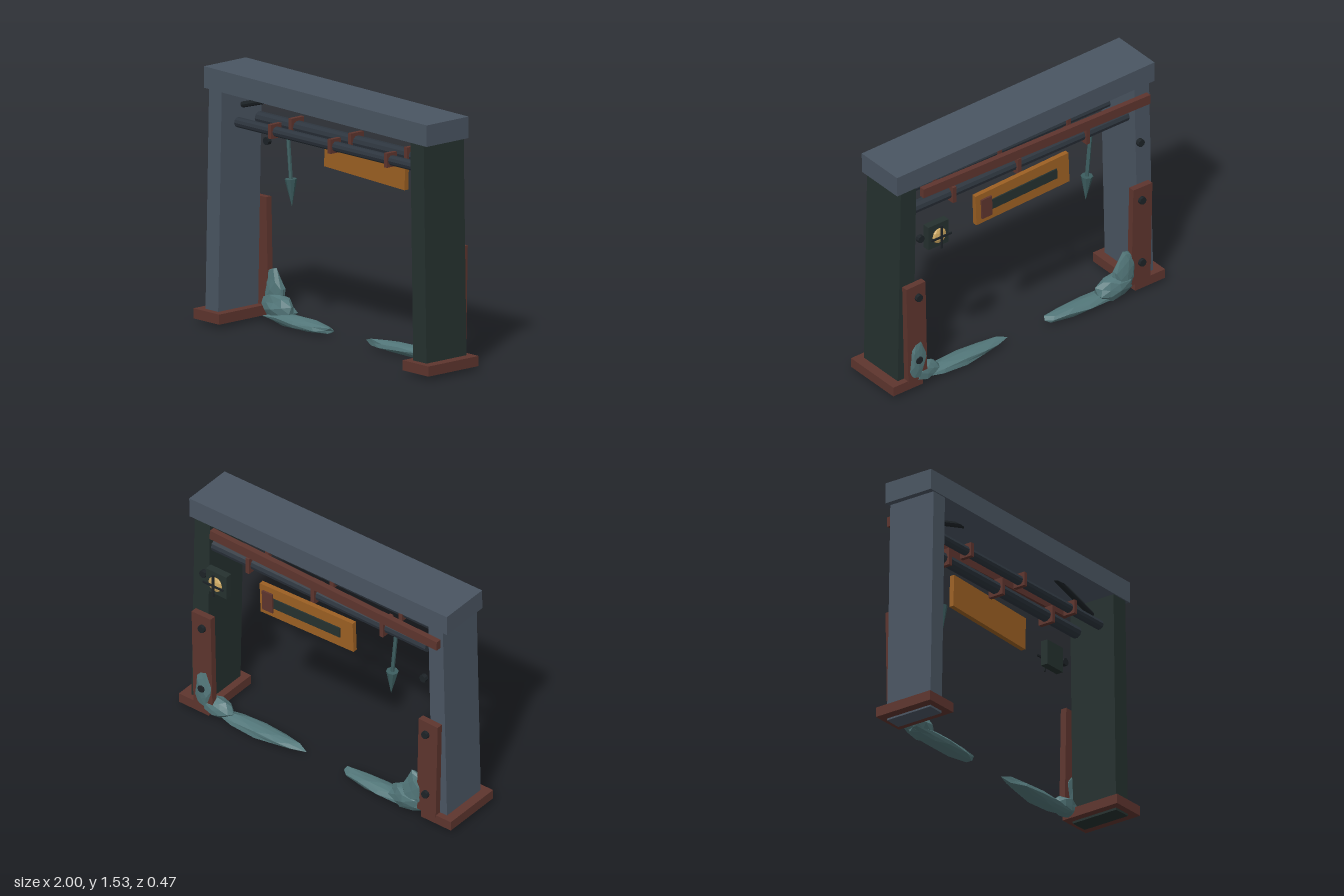
import * as THREE from 'three';

const mat = (name, color) => {
  const m = new THREE.MeshStandardMaterial({ color });
  m.name = name;
  return m;
};

export function createModel() {
  const steel = mat('blue grey steel', 0x4a5562);
  const dark = mat('dark green steel', 0x25312f);
  const rust = mat('red brown rust', 0x5e352e);
  const orange = mat('orange paint', 0x9c6023);
  const moss = mat('teal moss', 0x527679);
  const teal = mat('dark teal', 0x3d5e60);
  const pipeGrey = mat('pipe grey', 0x2d353e);
  const black = mat('bolt black', 0x1d2327);
  const lamp = mat('lamp tan', 0xcaa660);

  const root = new THREE.Group();
  root.name = 'gateFrame';

  const add = (name, geo, material, pos, rotZ = 0, parent = root) => {
    const m = new THREE.Mesh(geo, material);
    m.name = name;
    m.position.set(...pos);
    m.rotation.z = rotZ;
    parent.add(m);
    return m;
  };
  const box = (name, size, material, pos, rotZ = 0, parent = root) =>
    add(name, new THREE.BoxGeometry(...size), material, pos, rotZ, parent);
  const facet = (geo) => {
    const g = geo.index ? geo.toNonIndexed() : geo;
    g.computeVertexNormals();
    return g;
  };
  // Faceted rod between two points
  const rod = (name, a, b, r, material, sides = 10) => {
    const p = new THREE.Vector3(...a), q = new THREE.Vector3(...b);
    const d = q.clone().sub(p);
    const m = add(name, facet(new THREE.CylinderGeometry(r, r, d.length(), sides)), material,
      p.clone().add(q).multiplyScalar(0.5).toArray());
    m.quaternion.setFromUnitVectors(new THREE.Vector3(0, 1, 0), d.normalize());
    return m;
  };

  // Leaning posts and sagging lintel
  box('rightPost', [0.108, 1.4, 0.315], steel, [-0.874, 0.72, 0.033], -0.023);
  box('leftPost', [0.113, 1.38, 0.315], dark, [0.87, 0.71, 0.033], 0.018);
  box('lintel', [1.895, 0.128, 0.33], steel, [0, 1.458, 0.033], -0.0125);

  // Base plates, rear boards and bolts
  for (const s of [-1, 1]) {
    box('basePlate', [0.22, 0.06, 0.395], rust, [s * 0.89, 0.063, 0.035]);
    box('rearBoard', [0.14, 0.655, 0.04], rust, [s * 0.828, 0.407, -0.145], -s * 0.022);
    for (const y of [0.22, 0.65, 1.055]) {
      const x = s * (y > 1 ? 0.81 : 0.822);
      rod('bolt', [x, y, -0.16], [x, y, -0.186], 0.024, black, 8);
    }
  }

  // Rear rail under the lintel
  box('rearRail', [1.67, 0.06, 0.035], rust, [-0.06, 1.329, -0.143], 0.018);

  // Pipes with clamps
  for (const [z, r, h, d] of [[0.09, 0.03, 0.085, 0.08], [-0.08, 0.038, 0.105, 0.1]]) {
    rod('pipe', [-0.775, 1.215, z], [0.8, 1.215, z], r, pipeGrey);
    for (const x of [-0.462, 0.045, 0.522]) box('pipeClamp', [0.026, h, d], rust, [x, 1.218, z]);
  }

  // Corner braces
  rod('cornerBrace', [-0.8, 1.305, 0.03], [-0.42, 1.415, 0.03], 0.018, black, 8);
  rod('cornerBrace', [0.81, 1.298, 0.03], [0.44, 1.41, 0.03], 0.018, black, 8);

  // Hanging sign with a dark bar and a tab on its back
  const sign = new THREE.Group();
  sign.name = 'sign';
  sign.position.set(0.055, 1.087, -0.155);
  sign.rotation.z = -0.036;
  root.add(sign);
  box('signBoard', [0.685, 0.2, 0.03], orange, [0, 0, 0], 0, sign);
  box('signBar', [0.53, 0.065, 0.009], dark, [0.015, 0, -0.019], 0, sign);
  box('signTab', [0.075, 0.13, 0.012], rust, [0.275, 0.005, -0.029], 0, sign);

  // Caged lamp
  const lantern = new THREE.Group();
  lantern.name = 'lantern';
  lantern.position.set(0.697, 1.05, 0);
  root.add(lantern);
  box('lampHousing', [0.15, 0.155, 0.046], dark, [0, 0, -0.177], 0, lantern);
  const bulb = add('lampBulb', facet(new THREE.SphereGeometry(0.05, 10, 6)), lamp, [0, 0, -0.208], 0, lantern);
  bulb.scale.z = 0.35;
  box('cageBar', [0.012, 0.155, 0.009], black, [0, 0, -0.229], 0, lantern);
  box('cageBar', [0.15, 0.012, 0.008], black, [0, 0, -0.229], 0, lantern);

  // Hanging pointer
  rod('pointerRod', [-0.527, 1.2, -0.07], [-0.497, 0.89, -0.07], 0.012, teal, 6);
  add('pointerHead', facet(new THREE.ConeGeometry(0.037, 0.165, 8)), teal,
    [-0.493, 0.818, -0.07], Math.PI + 0.06);

  // Moss clumps: jittered low-poly ellipsoids, narrowed upward by taper
  const clump = (name, pos, size, rotZ, seed, taper = 0) => {
    const g = new THREE.IcosahedronGeometry(1, 1);
    const p = g.attributes.position;
    for (let i = 0; i < p.count; i++) {
      const x = p.getX(i), y = p.getY(i), z = p.getZ(i);
      const k = 0.95 + 0.11 * Math.sin(x * 9.1 + y * 7.3 + z * 5.7 + seed);
      const t = 1 - taper * (y * 0.5 + 0.5);
      p.setXYZ(i, x * k * size[0] * t, y * k * size[1], z * k * size[2] * t);
    }
    add(name, facet(g), moss, pos, rotZ);
  };
  clump('flatMoss', [-0.455, 0.047, -0.1], [0.33, 0.036, 0.065], 0, 1);
  clump('cornerMoss', [-0.66, 0.098, -0.125], [0.15, 0.08, 0.065], -0.12, 2);
  clump('climbingMoss', [-0.72, 0.195, -0.145], [0.11, 0.14, 0.045], 0.12, 3, 0.45);
  clump('flatMoss', [0.45, 0.046, -0.1], [0.325, 0.039, 0.065], 0, 4);
  clump('cornerMoss', [0.75, 0.093, -0.12], [0.115, 0.067, 0.06], 0.05, 5);
  clump('climbingMoss', [0.822, 0.22, -0.15], [0.075, 0.155, 0.037], 0.05, 6, 0.2);

  return root;
}
